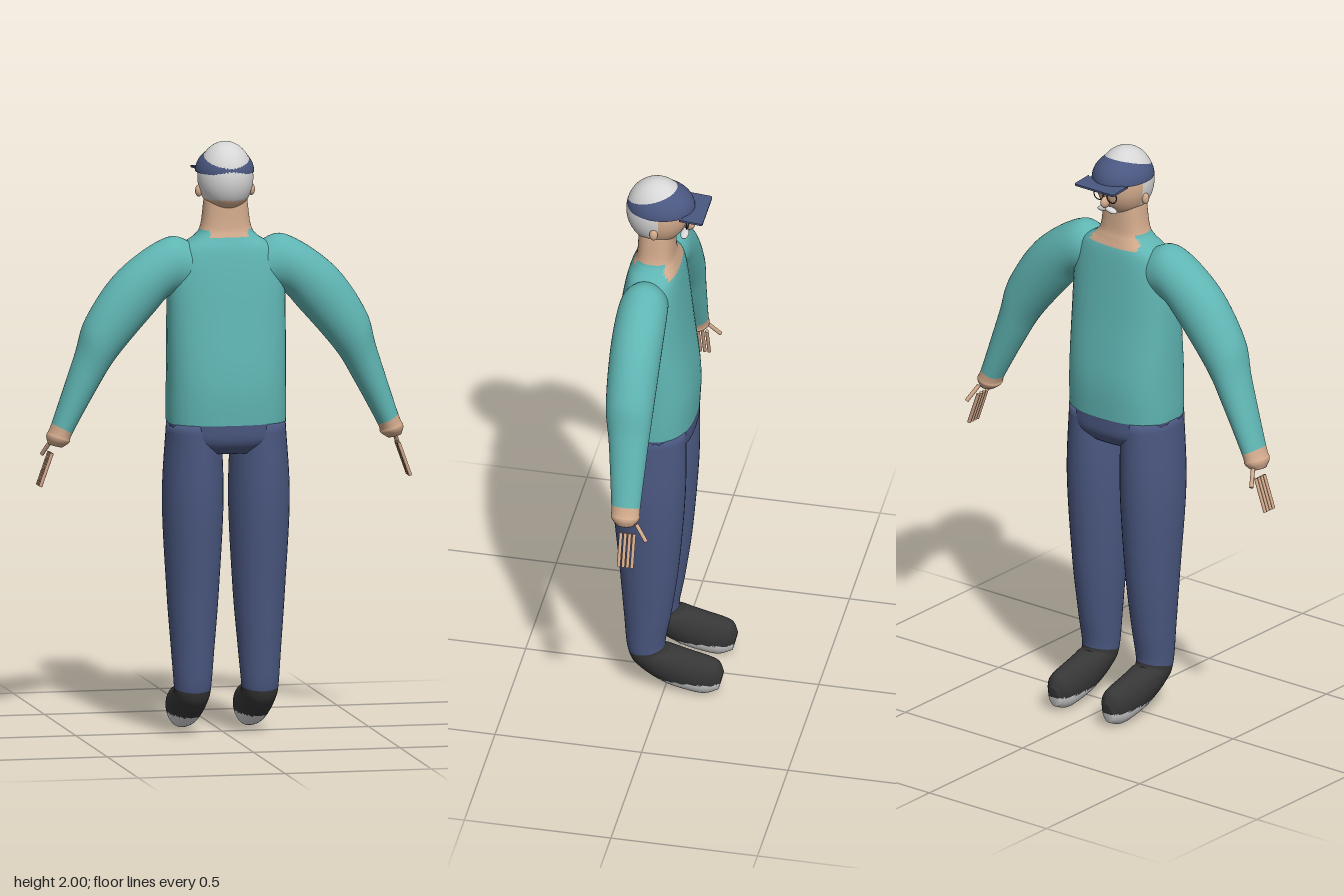
import * as THREE from 'three';

const material = (name, color) => {
  const m = new THREE.MeshStandardMaterial({ color, side: THREE.DoubleSide });
  m.name = name;
  return m;
};

// Smooth skin over rings [a, b, w]: a and b are opposite points, w is the half width across.
// pick(x, y, z, ring) gives the material number of each face.
function loft(rings, mats, pick, power = 2, seg = 8, sides = 40) {
  const [A, B, W] = [0, 1, 2].map((k) =>
    new THREE.CatmullRomCurve3(rings.map((r) => new THREE.Vector3(...r[k])), false, 'catmullrom', 0.5));
  const rows = (rings.length - 1) * seg;
  const pos = [];
  const round = (c) => Math.sign(c) * Math.abs(c) ** (2 / power);
  const add = (v) => pos.push(v.x, v.y, v.z);
  const mids = [];
  for (let i = 0; i <= rows; i++) {
    const a = A.getPoint(i / rows), b = B.getPoint(i / rows), w = W.getPoint(i / rows);
    const mid = a.clone().add(b).multiplyScalar(0.5);
    const u = b.clone().sub(a).multiplyScalar(0.5);
    mids.push(mid);
    for (let j = 0; j < sides; j++) {
      const t = (j / sides) * Math.PI * 2;
      add(mid.clone().addScaledVector(u, round(Math.cos(t))).addScaledVector(w, round(Math.sin(t))));
    }
  }
  add(mids[0]);
  add(mids[rows]);
  const end = (rows + 1) * sides;
  const faces = [];
  for (let j = 0; j < sides; j++) {
    const k = (j + 1) % sides;
    faces.push([end, k, j, 0], [end + 1, rows * sides + j, rows * sides + k, rows / seg]);
    for (let i = 0; i < rows; i++) {
      const p = i * sides, q = p + sides, ring = (i + 0.5) / seg;
      faces.push([p + j, p + k, q + j, ring], [p + k, q + k, q + j, ring]);
    }
  }
  return paint(pos, faces, mats, pick);
}

// Makes a mesh from faces sorted by material, facing outward
function paint(pos, faces, mats, pick) {
  const at = (i) => new THREE.Vector3(pos[i * 3], pos[i * 3 + 1], pos[i * 3 + 2]);
  const lists = mats.map(() => []);
  let volume = 0;
  for (const [a, b, c, ring] of faces) {
    const p = at(a), q = at(b), r = at(c);
    volume += p.dot(q.clone().cross(r));
    const m = p.clone().add(q).add(r).divideScalar(3);
    lists[pick(m.x, m.y, m.z, ring)].push([a, b, c]);
  }
  const geo = new THREE.BufferGeometry();
  geo.setAttribute('position', new THREE.Float32BufferAttribute(pos, 3));
  const index = [];
  lists.forEach((list, n) => {
    geo.addGroup(index.length, list.length * 3, n);
    for (const [a, b, c] of list) index.push(...(volume < 0 ? [a, c, b] : [a, b, c]));
  });
  geo.setIndex(index);
  geo.computeVertexNormals();
  return new THREE.Mesh(geo, mats);
}

export function createModel() {
  const model = new THREE.Group();
  const skin = material('skin', 0xd2aa8c);
  const sweater = material('sweater teal', 0x5fb5b3);
  const navy = material('navy cloth', 0x4a5780);
  const shoe = material('shoe black', 0x363636);
  const white = material('white hair and soles', 0xd6d6d6);

  const put = (name, mesh, parent = model) => {
    mesh.name = name;
    parent.add(mesh);
    return mesh;
  };
  const ball = (name, mat, p, s) => {
    const m = put(name, new THREE.Mesh(new THREE.SphereGeometry(1, 24, 16), mat));
    m.position.set(...p);
    m.scale.set(...s);
    return m;
  };
  const rod = (name, mat, from, to, r) => {
    const a = new THREE.Vector3(...from), b = new THREE.Vector3(...to);
    const m = put(name, new THREE.Mesh(new THREE.CylinderGeometry(r, r, a.distanceTo(b), 10), mat));
    m.position.copy(a).add(b).multiplyScalar(0.5);
    m.quaternion.setFromUnitVectors(new THREE.Vector3(0, 1, 0), b.sub(a).normalize());
  };

  // Hips, sweater and neck: [height, back z, front z, half width]
  const trunk = [
    [0.96, 0.16, -0.05, 0.13], [1.0, 0.192, -0.08, 0.19], [1.06, 0.2, -0.085, 0.2],
    [1.2, 0.203, -0.088, 0.2], [1.4, 0.18, -0.063, 0.2], [1.55, 0.16, -0.045, 0.195],
    [1.64, 0.143, -0.033, 0.165], [1.685, 0.125, -0.02, 0.105], [1.72, 0.115, -0.012, 0.084],
    [1.81, 0.11, -0.01, 0.072],
  ].map(([y, back, front, w]) => [[0, y, back], [0, y, front], [w, 0, 0]]);
  put('torso', loft(trunk, [navy, sweater, skin], (x, y, z) => {
    if (y < 1.06) return 0;
    const collar = z < 0.01 ? 1.662 : Math.abs(x) > 0.065 ? 1.708 : 1.686;
    return y > collar && Math.abs(x) < 0.1 ? 2 : 1;
  }, 2.5));

  for (const s of [1, -1]) {
    const side = s > 0 ? 'left' : 'right';

    // Sleeve and hand: [outer x, y, inner x, y, middle z, half depth]
    const arm = [
      [0.1, 1.655, 0.1, 1.5, 0.06, 0.07], [0.2, 1.683, 0.19, 1.49, 0.06, 0.083],
      [0.365, 1.575, 0.25, 1.43, 0.06, 0.086], [0.475, 1.42, 0.375, 1.285, 0.057, 0.08],
      [0.515, 1.29, 0.44, 1.18, 0.05, 0.066], [0.59, 1.065, 0.522, 1.03, 0.042, 0.049],
      [0.608, 1.025, 0.532, 1.0, 0.041, 0.048], [0.603, 0.995, 0.555, 0.983, 0.04, 0.03],
    ].map(([ox, oy, ix, iy, z, w]) => [[s * ox, oy, z], [s * ix, iy, z], [0, 0, w]]);
    put(side + 'Arm', loft(arm, [sweater, skin], (x, y, z, ring) => (ring > 5 ? 1 : 0)));

    // Fingers and thumb
    for (let i = 0; i < 4; i++) {
      const z = 0.006 + i * 0.015;
      rod(side + 'Finger', skin, [s * 0.592, 0.965, z], [s * 0.632, 0.853, z], 0.006);
    }
    rod(side + 'Thumb', skin, [s * 0.585, 1.0, 0], [s * 0.608, 0.95, -0.038], 0.007);

    // Trouser leg running into the shoe: [middle x, back y, z, front y, z, half width]
    const leg = [
      [0.11, 1.06, 0.185, 1.06, -0.07, 0.09], [0.113, 0.8, 0.182, 0.8, -0.068, 0.102],
      [0.113, 0.5, 0.156, 0.5, -0.046, 0.088], [0.114, 0.3, 0.14, 0.3, -0.02, 0.073],
      [0.115, 0.15, 0.125, 0.175, 0, 0.062], [0.115, 0.085, 0.085, 0.168, -0.025, 0.058],
      [0.115, 0.03, 0, 0.155, -0.09, 0.054], [0.115, 0.006, -0.09, 0.14, -0.155, 0.05],
      [0.115, 0.003, -0.14, 0.125, -0.185, 0.042], [0.115, 0.02, -0.183, 0.09, -0.2, 0.02],
    ].map(([x, by, bz, fy, fz, w]) => [[s * x, by, bz], [s * x, fy, fz], [w, 0, 0]]);
    put(side + 'LegAndShoe', loft(leg, [navy, shoe, white],
      (x, y, z, ring) => (ring < 4 ? 0 : y < 0.055 ? 2 : 1)));

    ball(side + 'Ear', skin, [s * 0.09, 1.835, 0.045], [0.012, 0.02, 0.014]);

    // Round spectacles
    const rim = put(side + 'SpectacleRim', new THREE.Mesh(new THREE.TorusGeometry(0.02, 0.002, 6, 24), shoe));
    rim.position.set(s * 0.028, 1.855, -0.058);
    ball(side + 'Moustache', white, [s * 0.016, 1.803, -0.046], [0.024, 0.009, 0.014]).rotation.z = -s * 0.2;
  }

  // Head with hair over the crown and the back
  const sphere = new THREE.SphereGeometry(1, 64, 48);
  sphere.scale(0.093, 0.12, 0.105).translate(0, 1.88, 0.05);
  const idx = sphere.index.array, tris = [];
  for (let i = 0; i < idx.length; i += 3) tris.push([idx[i], idx[i + 1], idx[i + 2], 0]);
  put('head', paint([...sphere.attributes.position.array], tris, [skin, white],
    (x, y, z) => (y > 1.9 || (z > 0.03 && y > 1.81) ? 1 : 0)));
  ball('nose', skin, [0, 1.832, -0.058], [0.013, 0.02, 0.02]);

  // Cap and peak
  const cap = put('cap', new THREE.Mesh(
    new THREE.SphereGeometry(1, 48, 20, 0, Math.PI * 2, 0, Math.PI / 2), navy));
  cap.scale.set(0.098, 0.085, 0.115);
  cap.position.set(0, 1.898, 0.038);
  const outline = new THREE.Shape([
    [-0.083, 0.04], [-0.076, 0.048], [0.076, 0.048], [0.083, 0.04],
    [0.083, 0.115], [0.078, 0.12], [-0.078, 0.12], [-0.083, 0.115],
  ].map(([x, y]) => new THREE.Vector2(x, y)));
  const peak = put('capPeak', new THREE.Mesh(
    new THREE.ExtrudeGeometry(outline, { depth: 0.007, bevelEnabled: false }), navy));
  peak.rotation.x = -Math.PI / 2 - 0.08;
  peak.position.y = 1.9;

  return model;
}
